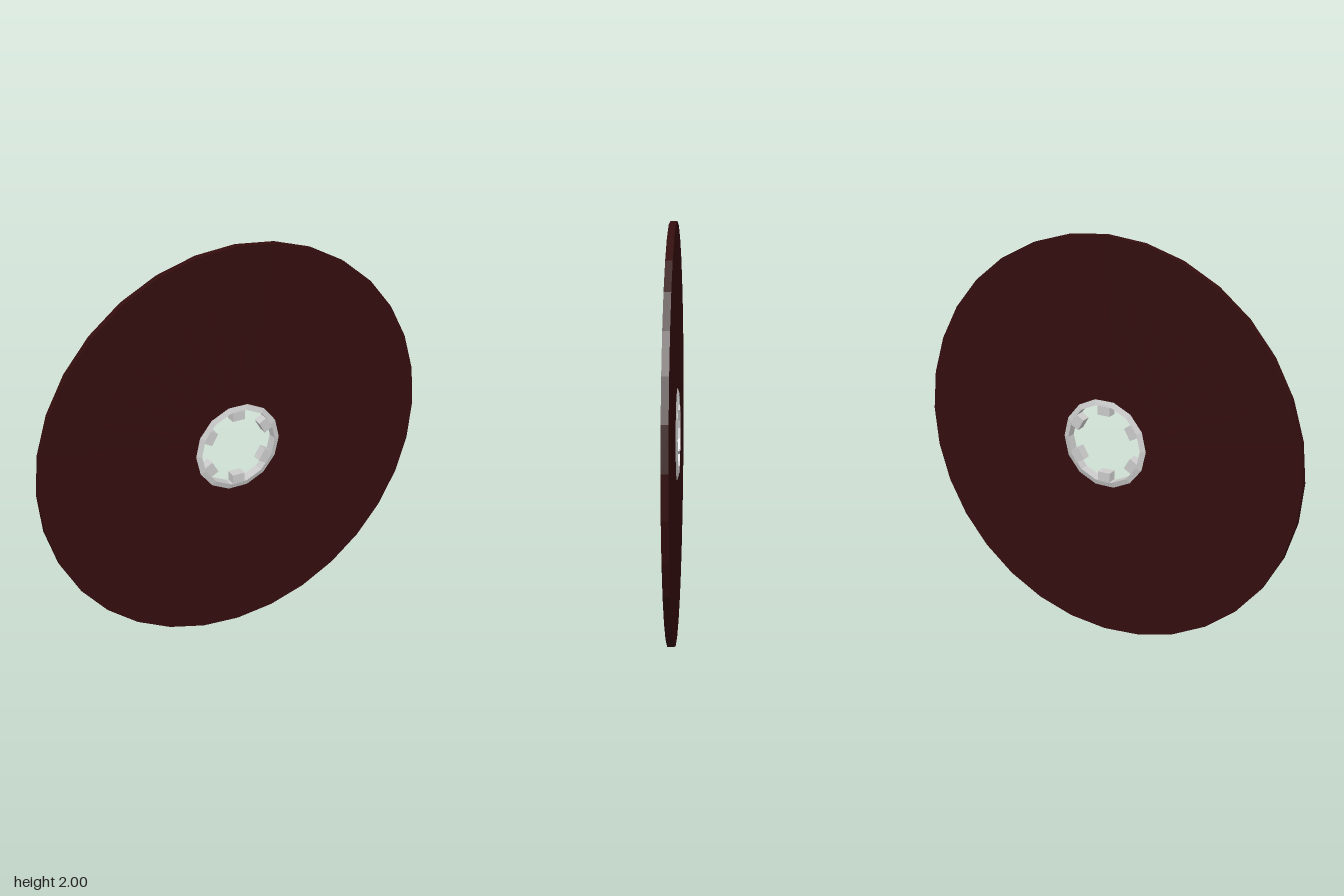
import * as THREE from 'three';

// Ring turned around the z axis from a closed [radius, depth] profile
function turned(name, profile, sides, material) {
  const points = [...profile, profile[0]].map(([r, d]) => new THREE.Vector2(r, d));
  const geometry = new THREE.LatheGeometry(points, sides, Math.PI / 2);
  geometry.rotateX(Math.PI / 2);
  const mesh = new THREE.Mesh(geometry, material);
  mesh.name = name;
  return mesh;
}

export function createModel() {
  const model = new THREE.Group();
  model.name = 'filmReel';
  const dark = new THREE.MeshStandardMaterial({ color: 0x330d0d, flatShading: true });
  const grey = new THREE.MeshStandardMaterial({ color: 0xcccccc, flatShading: true });

  const reel = new THREE.Group();
  reel.name = 'reel';
  reel.position.y = 1;
  model.add(reel);

  // Wound disc with a central hole
  reel.add(turned('disc', [[1, -0.016], [1, 0.016], [0.21, 0.016], [0.21, -0.016]], 32, dark));

  // Hub ring with a bevelled lip on both faces
  reel.add(turned('hubRing', [[0.222, -0.016], [0.222, 0.016], [0.195, 0.025], [0.195, -0.025]], 14, grey));

  // Six drive teeth pointing to the centre
  const toothGeometry = new THREE.BoxGeometry(0.064, 0.05, 0.048);
  toothGeometry.translate(0, 0.17, 0);
  for (let i = 0; i < 6; i++) {
    const tooth = new THREE.Mesh(toothGeometry, grey);
    tooth.name = 'hubTooth';
    tooth.rotation.z = (i * Math.PI) / 3;
    reel.add(tooth);
  }

  return model;
}
